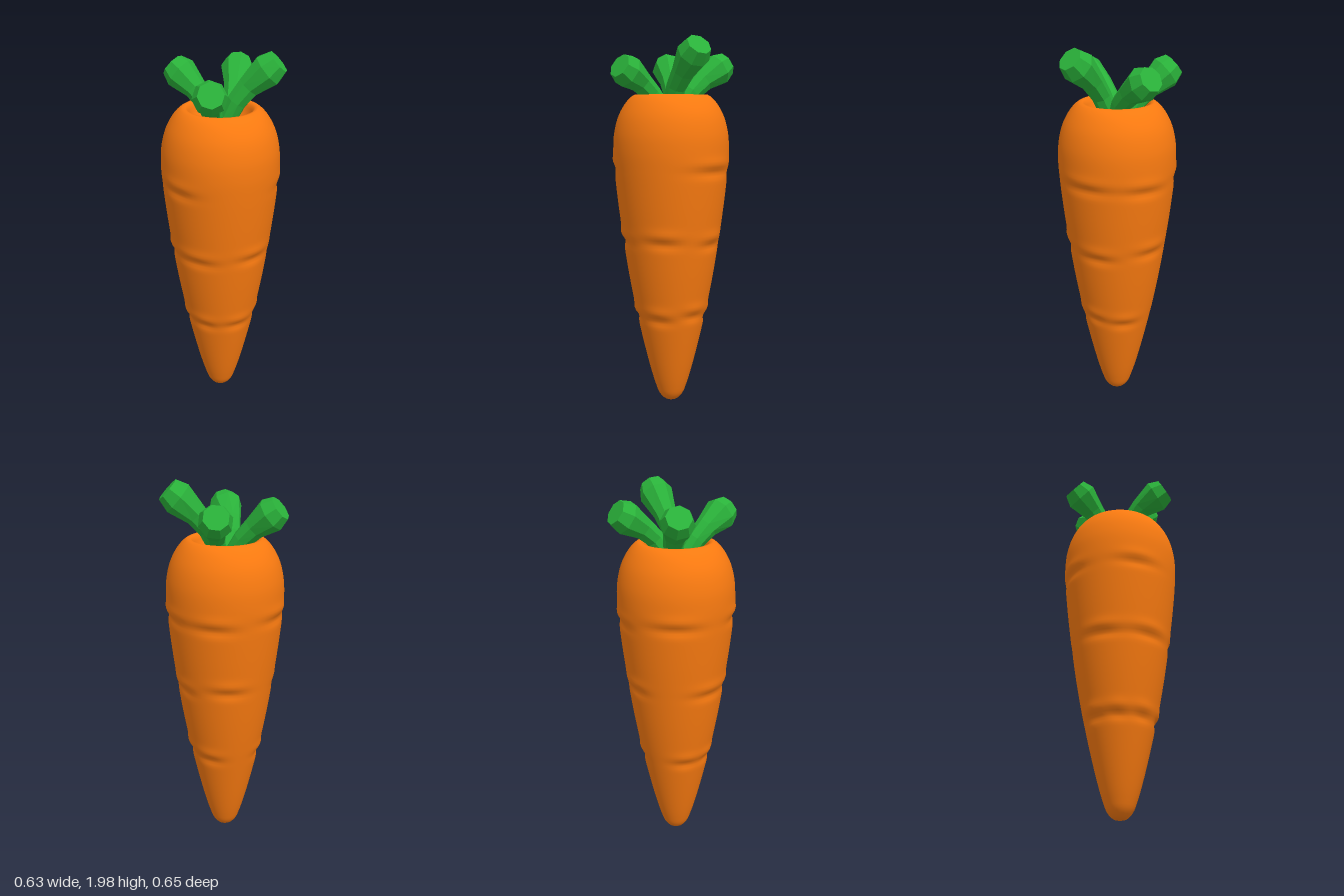
import * as THREE from 'three';
import { mergeVertices } from 'three/addons/utils/BufferGeometryUtils.js';

const V = (x, y, z) => new THREE.Vector3(x, y, z);

// Root: a lathed profile with a hollow crown, dented by short creases
function makeRoot(material) {
  const outer = [
    [0.001, 0], [0.035, 0.008], [0.065, 0.04], [0.085, 0.09], [0.12, 0.21], [0.188, 0.5], [0.23, 0.72],
    [0.262, 0.93], [0.287, 1.12], [0.305, 1.3], [0.31, 1.4], [0.304, 1.49], [0.28, 1.58],
    [0.24, 1.65], [0.208, 1.682], [0.185, 1.692], [0.168, 1.68], [0.152, 1.64], [0.125, 1.6], [0.07, 1.575], [0.001, 1.565],
  ].map(([r, y]) => V(r, y, 0));
  const profile = new THREE.CatmullRomCurve3(outer, false, 'centripetal')
    .getSpacedPoints(130).map(p => new THREE.Vector2(Math.max(p.x, 0), p.y));
  let geo = new THREE.LatheGeometry(profile, 64);

  // Creases: height, angle around the root (0 = front, positive to the left), half width
  const creases = [
    [1.31, -2.35, 0.4], [1.31, -0.95, 0.35], [1.3, 1.6, 0.45], [1.29, 2.65, 0.35],
    [0.92, -0.65, 0.42], [0.93, 0.6, 0.35], [0.92, -1.6, 0.4], [0.91, 1.75, 0.35], [0.93, 2.9, 0.35],
    [0.5, -0.6, 0.35], [0.5, 0.4, 0.4], [0.5, -1.3, 0.3], [0.5, -2.05, 0.4], [0.52, 1.45, 0.35], [0.5, 2.36, 0.4],
  ];
  const bump = d => Math.exp(-d * d);
  const p = geo.attributes.position;
  for (let i = 0; i < p.count; i++) {
    const x = p.getX(i), y = p.getY(i), z = p.getZ(i);
    const r = Math.hypot(x, z), a = Math.atan2(x, z);
    if (r < 0.02 || y > 1.5) continue;
    let d = 0;
    for (const [cy, ca, w] of creases) {
      const da = Math.atan2(Math.sin(a - ca), Math.cos(a - ca));
      d += bump(da / w) * (0.007 * bump((y - cy - 0.035) / 0.03) - 0.012 * bump((y - cy + 0.01) / 0.025));
    }
    p.setX(i, x * (1 + d / r));
    p.setZ(i, z * (1 + d / r));
  }
  geo.deleteAttribute('normal');
  geo.deleteAttribute('uv');
  geo = mergeVertices(geo, 1e-5);
  geo.computeVertexNormals();
  const mesh = new THREE.Mesh(geo, material);
  mesh.name = 'root';
  return mesh;
}

// Stem: an eight-sided rod bent along a path, swelling into a blunt head
function makeStem(points, material) {
  const stops = [0, 0.2, 0.4, 0.6, 0.86, 1];
  const radii = [0.035, 0.048, 0.052, 0.06, 0.088, 0.066];
  const curve = new THREE.CatmullRomCurve3(points.map(q => V(...q)));
  const n = stops.length - 1;
  const geo = new THREE.CylinderGeometry(1, 1, 1, 8, n);
  const p = geo.attributes.position, v = V(0, 0, 0), turn = new THREE.Quaternion();
  for (let i = 0; i < p.count; i++) {
    const k = Math.round((p.getY(i) + 0.5) * n);
    turn.setFromUnitVectors(V(0, 1, 0), curve.getTangentAt(stops[k]));
    v.set(p.getX(i), 0, p.getZ(i)).multiplyScalar(radii[k]).applyQuaternion(turn);
    v.add(curve.getPointAt(stops[k]));
    p.setXYZ(i, v.x, v.y, v.z);
  }
  geo.computeVertexNormals();
  return new THREE.Mesh(geo, material);
}

export function createModel() {
  const orange = new THREE.MeshStandardMaterial({ color: 0xf97a10 });
  const green = new THREE.MeshStandardMaterial({ color: 0x2ab23a, flatShading: true });
  const model = new THREE.Group();
  model.name = 'carrot';
  model.add(makeRoot(orange));

  // Four stems fanning out of the crown
  const stems = {
    frontStem: [[-0.01, 1.55, 0.01], [-0.05, 1.67, 0.07], [-0.075, 1.76, 0.16], [-0.083, 1.835, 0.295]],
    leftStem: [[0.01, 1.55, 0.01], [0.06, 1.7, 0.04], [0.14, 1.81, 0.055], [0.275, 1.935, 0.09]],
    backStem: [[0.02, 1.55, -0.01], [0.07, 1.68, -0.06], [0.1, 1.77, -0.15], [0.135, 1.855, -0.285]],
    rightStem: [[-0.01, 1.55, -0.02], [-0.05, 1.67, -0.07], [-0.12, 1.765, -0.125], [-0.222, 1.865, -0.2]],
  };
  for (const [name, path] of Object.entries(stems)) {
    const stem = makeStem(path, green);
    stem.name = name;
    model.add(stem);
  }
  return model;
}
